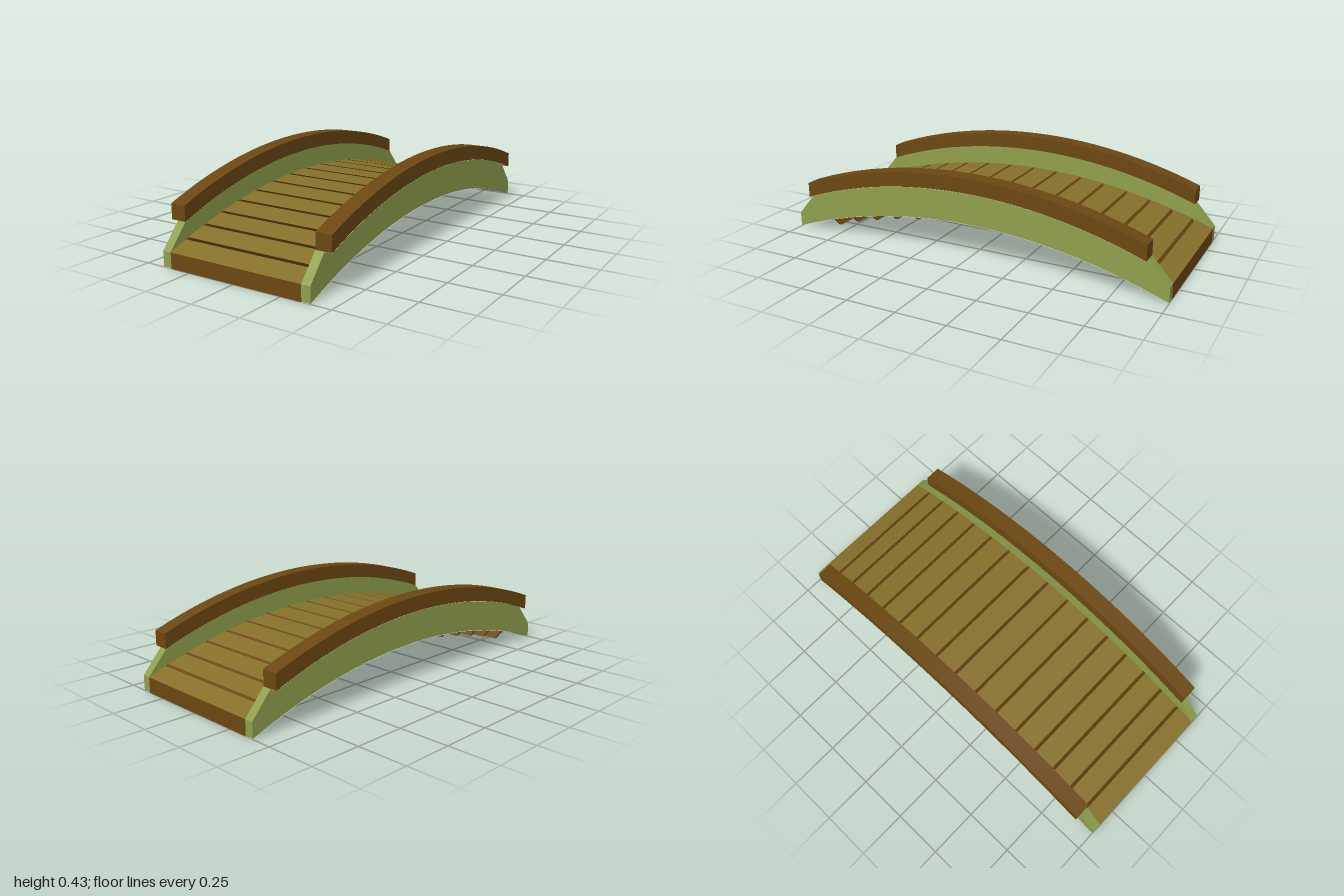
import * as THREE from 'three';

const mat = (color) => new THREE.MeshStandardMaterial({ color, side: THREE.DoubleSide });
const green = mat(0x8f9f4c), brown = mat(0x6b4712), ochre = mat(0x85702a), grey = mat(0xcccccc);

// Circular arc: height at z for a given crown height and drop at z = reach
const arc = (crown, drop, reach) => {
  const r = (reach * reach + drop * drop) / (2 * drop);
  return (z) => crown - r + Math.sqrt(r * r - z * z);
};
const deckTop = arc(0.257, 0.181, 1);
const deckBottom = arc(0.187, 0.185, 1);
const railBottom = arc(0.355, 0.165, 0.9);
const railTop = arc(0.428, 0.163, 0.9);

function add(group, name, geometry, material) {
  const mesh = new THREE.Mesh(geometry, material);
  mesh.name = name;
  group.add(mesh);
  return mesh;
}

// Points (z, y) along an arc
function along(fn, z0, z1, n = 32) {
  return Array.from({ length: n + 1 }, (_, i) => {
    const z = z0 + ((z1 - z0) * i) / n;
    return new THREE.Vector2(z, fn(z));
  });
}

// Side profile (z, y) extruded across x and centred
function sideExtrude(points, width) {
  const g = new THREE.ExtrudeGeometry(new THREE.Shape(points), { depth: width, bevelEnabled: false });
  return g.translate(0, 0, -width / 2).rotateY(-Math.PI / 2);
}

// Curved sheet that follows an arc, facing up or down
function sheet(fn, width, z0, z1, n, down = false) {
  const g = new THREE.PlaneGeometry(width, z1 - z0, 1, n);
  g.rotateX(down ? Math.PI / 2 : -Math.PI / 2).translate(0, 0, (z0 + z1) / 2);
  const p = g.attributes.position;
  for (let i = 0; i < p.count; i++) p.setY(i, fn(p.getZ(i)));
  g.computeVertexNormals();
  return g;
}

// Slanted, open-topped slot reaching through the deck
function slotGeometry(z, thickness) {
  const g = new THREE.BoxGeometry(0.71, 0.1, thickness);
  const index = Array.from(g.index.array);
  index.splice(12, 6);
  g.setIndex(index);
  const p = g.attributes.position;
  for (let i = 0; i < p.count; i++) {
    const pz = p.getZ(i) + z;
    if (p.getY(i) > 0) p.setXYZ(i, p.getX(i), deckTop(pz), pz);
    else p.setXYZ(i, p.getX(i) * 0.88, deckTop(z) - 0.103, pz - 0.083);
  }
  g.computeVertexNormals();
  return g;
}

export function createModel() {
  const model = new THREE.Group();
  model.name = 'archedFootbridge';

  // Walkway: planks separated by narrow slots
  const deck = new THREE.Group();
  deck.name = 'deck';
  model.add(deck);
  const slots = [-0.9, -0.79, -0.67, -0.545, -0.415, -0.285, -0.145, -0.01,
    0.13, 0.27, 0.405, 0.535, 0.66, 0.78, 0.895];
  const gap = 0.016;
  let start = -1;
  for (const z of slots) {
    add(deck, 'plank', sheet(deckTop, 0.71, start, z - gap / 2, 3), ochre);
    add(deck, 'plankSlot', slotGeometry(z, gap), brown);
    start = z + gap / 2;
  }
  add(deck, 'plank', sheet(deckTop, 0.71, start, 1, 3), ochre);
  add(deck, 'underside', sheet((z) => deckBottom(z) - 0.002, 0.8, -1, 1, 32, true), grey);

  // Upright faces closing both ends of the walkway
  for (const s of [-1, 1]) {
    const end = add(deck, 'deckEnd', new THREE.PlaneGeometry(0.71, 0.076), brown);
    end.position.set(0, 0.038, s);
    if (s < 0) end.rotation.y = Math.PI;
  }

  // Side walls and the handrails on top of them
  const wall = sideExtrude([
    ...along(deckBottom, -1, 1),
    new THREE.Vector2(1, 0.076),
    ...along(railBottom, 0.9, -0.9),
    new THREE.Vector2(-1, 0.076),
  ], 0.045);
  const rail = sideExtrude([...along(railBottom, -0.9, 0.9), ...along(railTop, 0.9, -0.9)], 0.08);
  const railUnder = sheet((z) => railBottom(z) - 0.001, 0.08, -0.9, 0.9, 32, true);
  for (const [side, s] of [['left', 1], ['right', -1]]) {
    add(model, side + 'Wall', wall, green).position.x = s * 0.3775;
    add(model, side + 'Handrail', rail, brown).position.x = s * 0.396;
    add(model, side + 'HandrailUnderside', railUnder, grey).position.x = s * 0.396;
  }
  return model;
}
